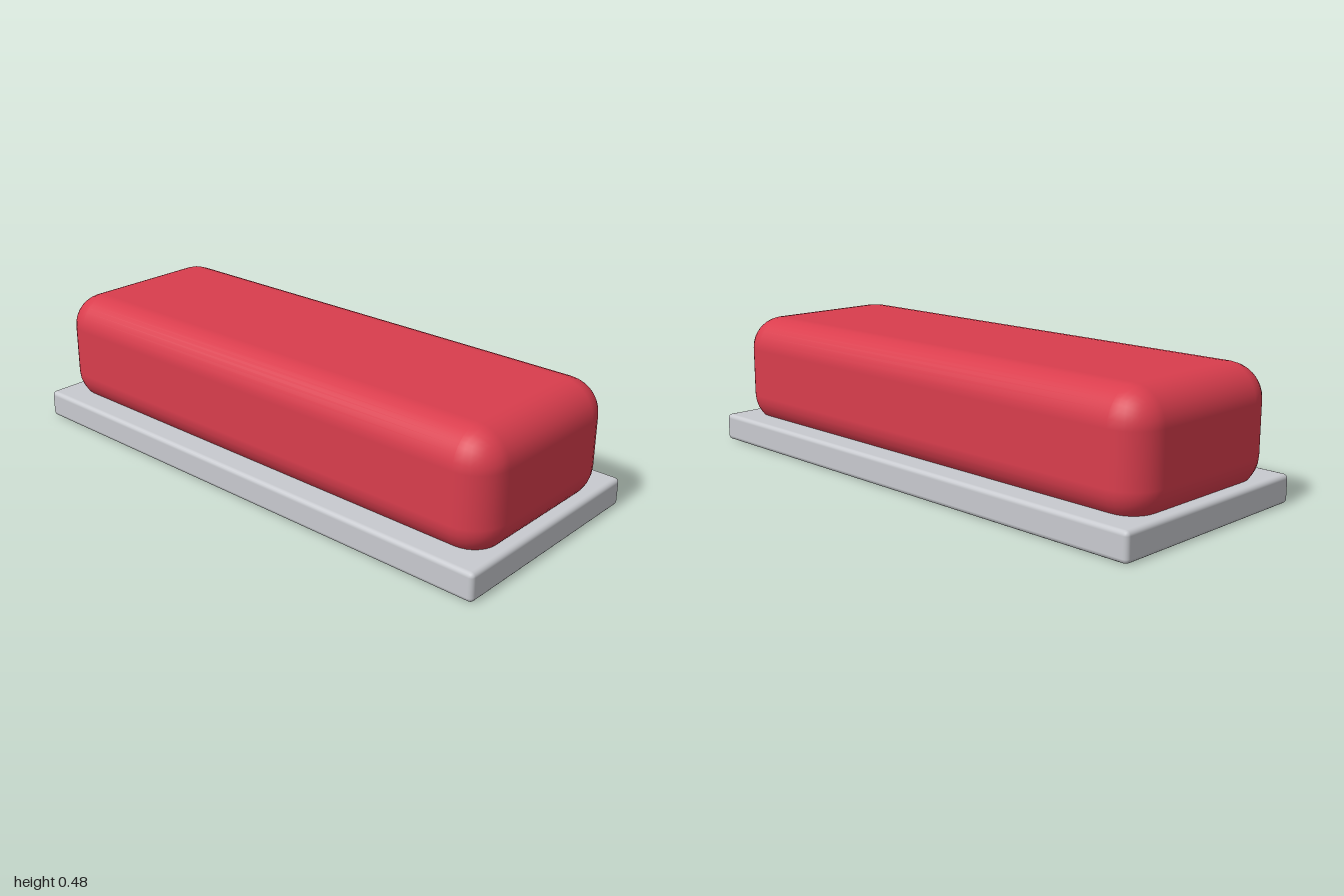
import * as THREE from 'three';
import { RoundedBoxGeometry } from 'three/addons/geometries/RoundedBoxGeometry.js';

const red = new THREE.MeshStandardMaterial({ name: 'cushionRed', color: 0xd93d4d });
const grey = new THREE.MeshStandardMaterial({ name: 'plateGrey', color: 0xc8cacf });

// Rounded block spanning bottom..top, centred on x and z
function block(name, width, depth, bottom, top, radius, segments, material) {
  const height = top - bottom;
  const mesh = new THREE.Mesh(new RoundedBoxGeometry(width, height, depth, segments, radius), material);
  mesh.name = name;
  mesh.position.y = (bottom + top) / 2;
  return mesh;
}

export function createModel() {
  const model = new THREE.Group();
  model.name = 'cushionOnPlate';
  // Thin base plate with slightly softened edges
  model.add(block('basePlate', 2, 0.835, 0, 0.1, 0.016, 2, grey));
  // Soft cushion, its lower edge sunk into the plate
  model.add(block('cushion', 1.96, 0.7, 0.06, 0.48, 0.12, 4, red));
  return model;
}
